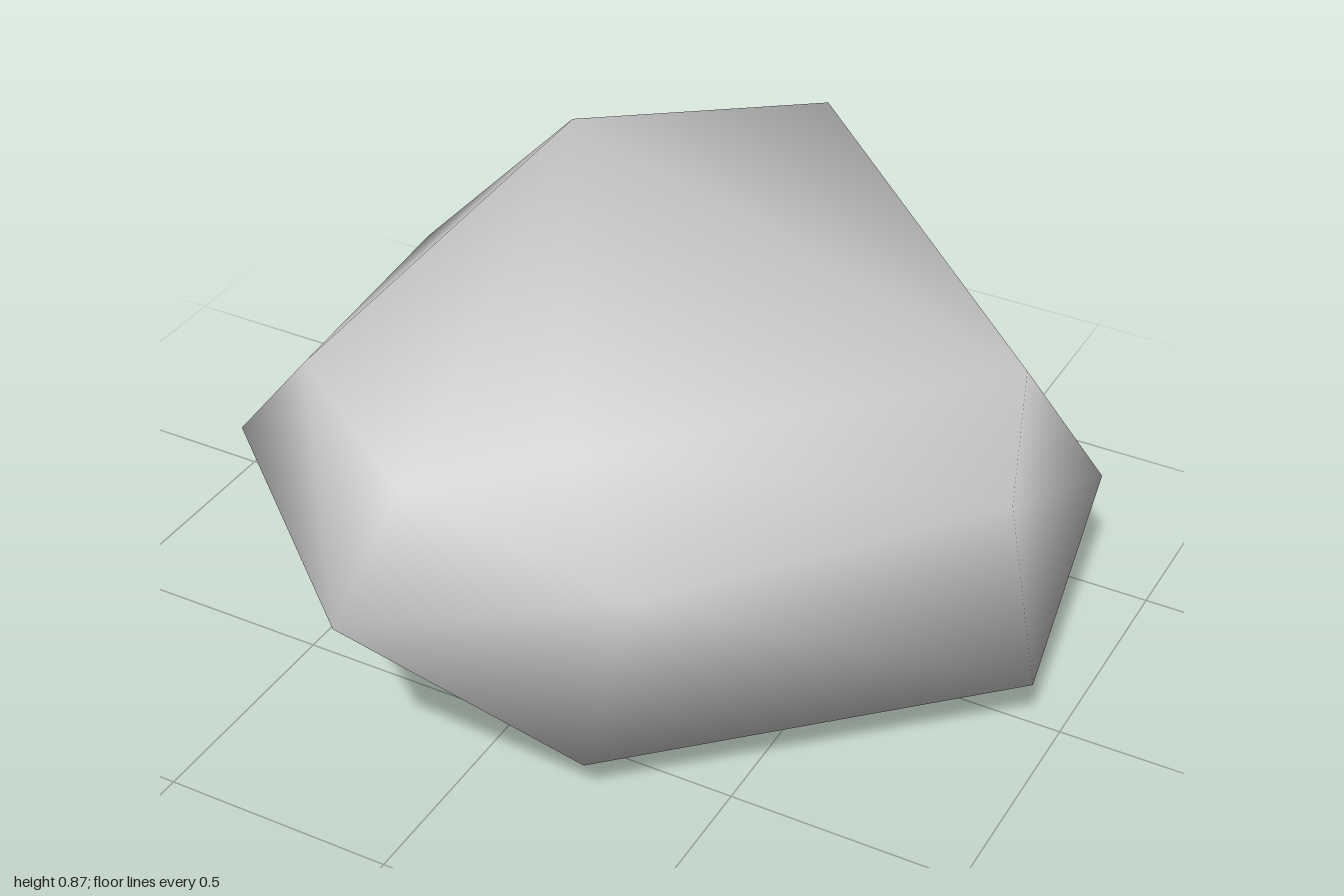
import * as THREE from 'three';
import { mergeVertices } from 'three/addons/utils/BufferGeometryUtils.js';
import { ConvexGeometry } from 'three/addons/geometries/ConvexGeometry.js';

// Corners of the boulder, grouped by height
const upper = [
  [0.25, 0.87, 0.70], [0.00, 0.82, 0.88], [-0.43, 0.77, 0.55],
  [-0.39, 0.85, -0.44], [0.02, 0.79, -0.88], [0.86, 0.84, 0.00],
];
const middle = [
  [0.93, 0.68, 0.21], [0.44, 0.67, 0.80], [-0.08, 0.55, 1.00],
  [-0.77, 0.37, 0.33], [-0.95, 0.26, -0.70], [-0.69, 0.50, -0.92],
  [0.30, 0.35, -1.00], [0.88, 0.31, -0.47],
];
const lower = [
  [0.95, 0.14, 0.05], [0.26, 0.11, 0.67], [-0.53, 0.01, 0.11],
  [-0.63, 0.00, -0.55], [-0.26, 0.14, -0.92], [0.53, 0.13, -0.82],
];

// Smooth normals: each face counts by its angle at the corner, not by its area
function smoothByAngle(geometry) {
  const { index, attributes: { position } } = geometry;
  const sums = Array.from({ length: position.count }, () => new THREE.Vector3());
  for (let f = 0; f < index.count; f += 3) {
    const ids = [0, 1, 2].map((k) => index.getX(f + k));
    const pts = ids.map((i) => new THREE.Vector3().fromBufferAttribute(position, i));
    const normal = new THREE.Triangle(...pts).getNormal(new THREE.Vector3());
    ids.forEach((id, k) => {
      const next = pts[(k + 1) % 3].clone().sub(pts[k]);
      const prev = pts[(k + 2) % 3].clone().sub(pts[k]);
      sums[id].addScaledVector(normal, next.angleTo(prev));
    });
  }
  const normals = sums.flatMap((n) => n.normalize().toArray());
  geometry.setAttribute('normal', new THREE.Float32BufferAttribute(normals, 3));
}

export function createModel() {
  const stone = new THREE.MeshStandardMaterial({ color: 0xd4d4d4 });
  stone.name = 'light grey stone';

  // Convex hull with shared corners, so the shading runs across the faces
  const corners = [...upper, ...middle, ...lower].map((p) => new THREE.Vector3(...p));
  const hull = new ConvexGeometry(corners);
  hull.deleteAttribute('normal');
  const geometry = mergeVertices(hull, 1e-4);
  smoothByAngle(geometry);

  const boulder = new THREE.Mesh(geometry, stone);
  boulder.name = 'boulder';

  const group = new THREE.Group();
  group.name = 'rock';
  group.add(boulder);
  return group;
}
